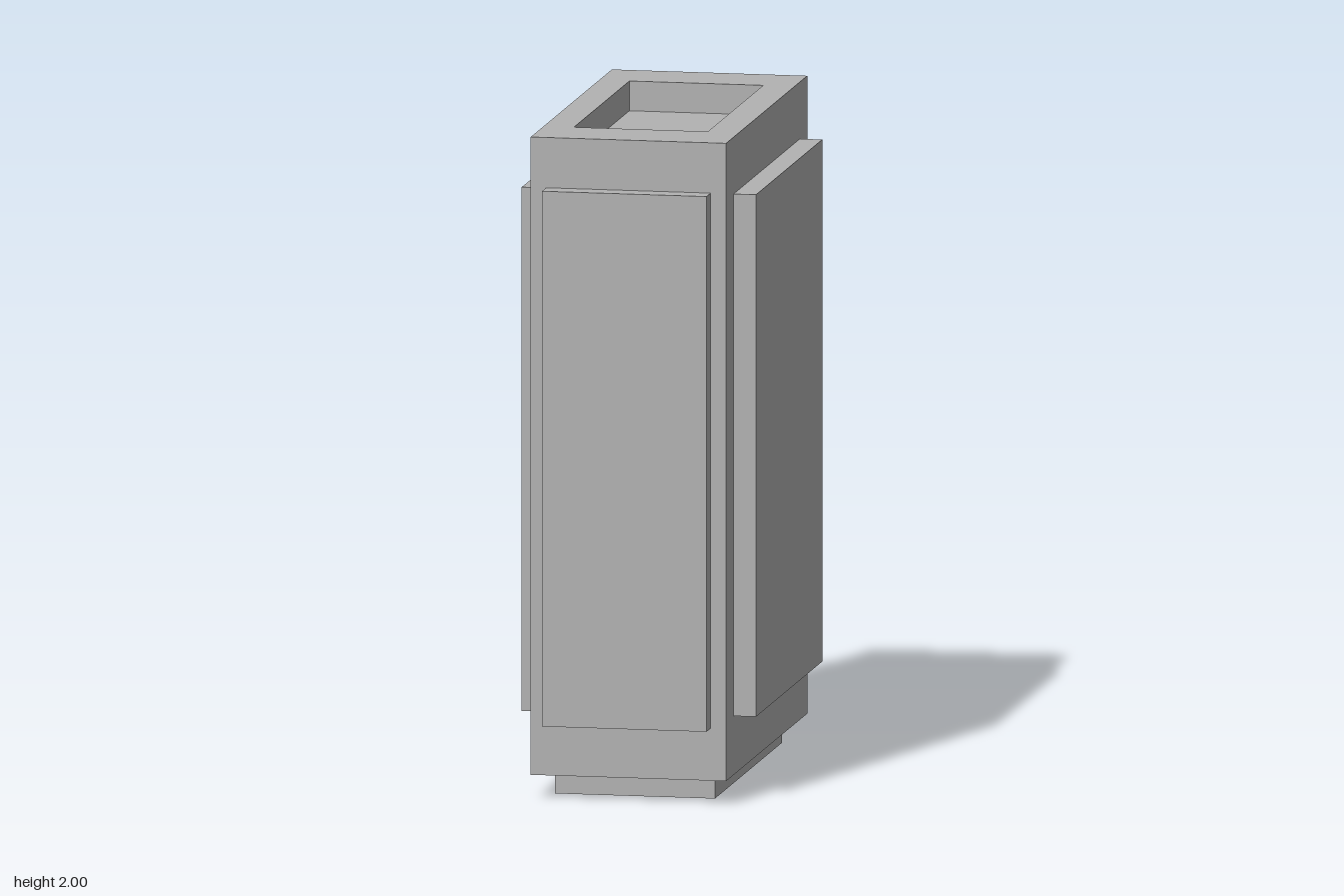
import * as THREE from 'three';

// Closed shell made of rectangular rings [x0, x1, y, z0, z1], capped at both ends
function ringShell(rings) {
  const loops = rings.map(([x0, x1, y, z0, z1]) => [
    [x0, y, z1], [x1, y, z1], [x1, y, z0], [x0, y, z0],
  ]);
  const pos = [];
  const quad = (a, b, c, d) => pos.push(...a, ...b, ...c, ...a, ...c, ...d);
  for (let r = 0; r < loops.length - 1; r++) {
    const lo = loops[r], hi = loops[r + 1];
    for (let i = 0; i < 4; i++) {
      const j = (i + 1) % 4;
      quad(lo[i], lo[j], hi[j], hi[i]);
    }
  }
  const first = loops[0], last = loops[loops.length - 1];
  quad(first[3], first[2], first[1], first[0]);
  quad(last[0], last[1], last[2], last[3]);
  const geo = new THREE.BufferGeometry();
  geo.setAttribute('position', new THREE.Float32BufferAttribute(pos, 3));
  geo.computeVertexNormals();
  return geo;
}

export function createModel() {
  const group = new THREE.Group();
  const grey = new THREE.MeshStandardMaterial({ color: 0xb2b2b2 });
  grey.name = 'grey';

  const add = (name, geo) => {
    const mesh = new THREE.Mesh(geo, grey);
    mesh.name = name;
    group.add(mesh);
    return mesh;
  };

  // Body: outer walls, top rim, then down into the recess
  add('body', ringShell([
    [-0.307, 0.287, 0.072, -0.63, 0.617],
    [-0.307, 0.287, 2, -0.63, 0.617],
    [-0.215, 0.192, 2, -0.435, 0.418],
    [-0.215, 0.192, 1.91, -0.435, 0.418],
  ]));

  // Raised panels, each given as min and max corners
  const panels = {
    frontPanel: [[-0.26, 0.23, 0.617], [0.24, 1.848, 0.681]],
    backPanel: [[-0.256, 0.24, -0.681], [0.234, 1.838, -0.63]],
    leftPanel: [[0.287, 0.25, -0.517], [0.355, 1.828, 0.502]],
    rightPanel: [[-0.357, 0.245, -0.52], [-0.307, 1.828, 0.502]],
    bottomPanel: [[-0.254, 0, -0.52], [0.232, 0.072, 0.51]],
  };
  for (const [name, [a, b]] of Object.entries(panels)) {
    const size = b.map((v, i) => v - a[i]);
    const mesh = add(name, new THREE.BoxGeometry(...size));
    mesh.position.set(...b.map((v, i) => (v + a[i]) / 2));
  }
  return group;
}
